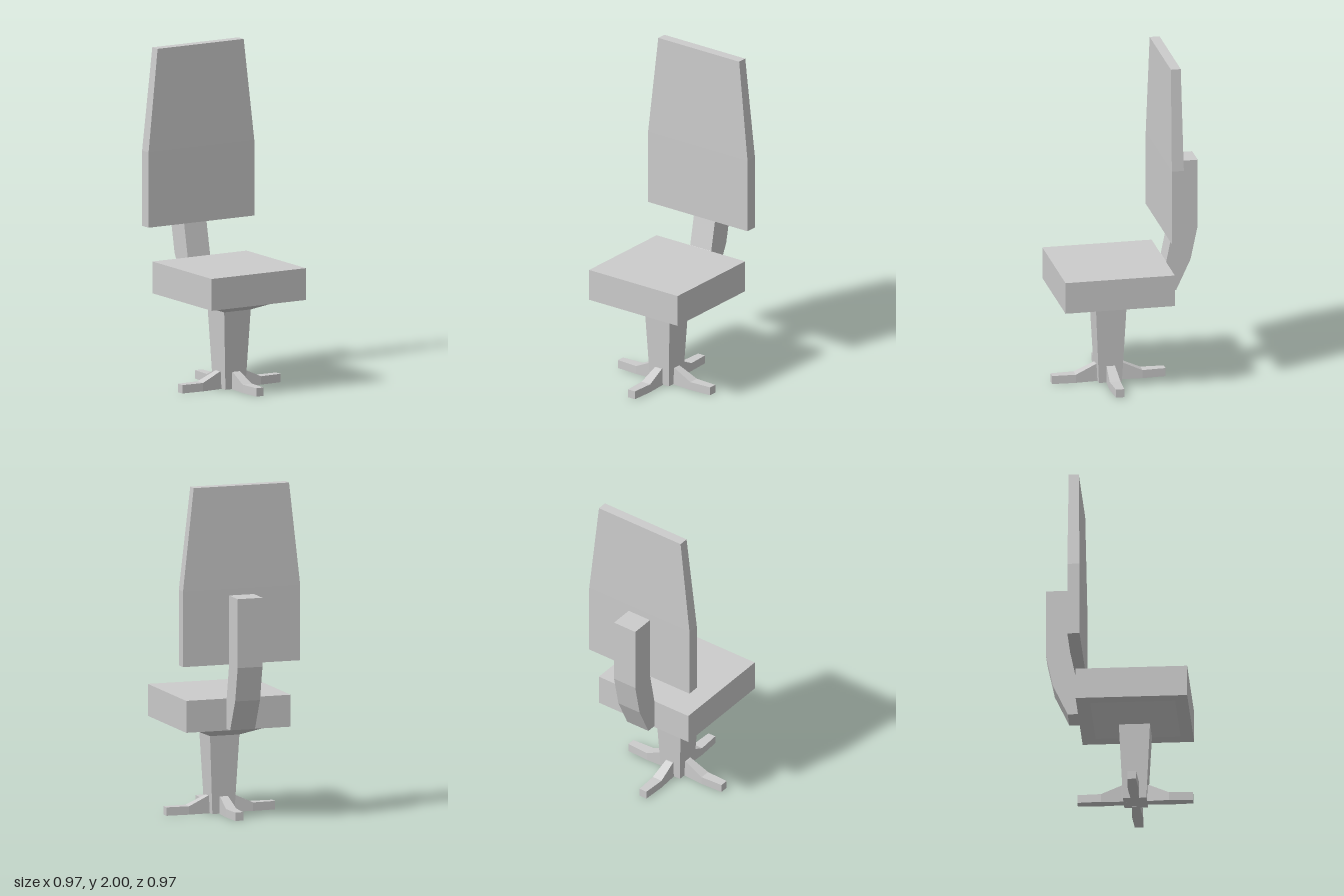
import * as THREE from 'three';

const material = new THREE.MeshStandardMaterial({ color: 0xcccccc, flatShading: true });

function addMesh(parent, name, geometry) {
  const mesh = new THREE.Mesh(geometry, material);
  mesh.name = name;
  parent.add(mesh);
  return mesh;
}

// Skin a row of four-cornered sections, with both ends closed
function loft(sections) {
  const pos = [];
  const quad = (a, b, c, d) => [a, b, c, a, c, d].forEach((p) => pos.push(...p));
  for (let s = 0; s + 1 < sections.length; s++) {
    for (let i = 0; i < 4; i++) {
      const j = (i + 1) % 4;
      quad(sections[s][i], sections[s][j], sections[s + 1][j], sections[s + 1][i]);
    }
  }
  quad(...[...sections[0]].reverse());
  quad(...sections[sections.length - 1]);
  const geometry = new THREE.BufferGeometry();
  geometry.setAttribute('position', new THREE.Float32BufferAttribute(pos, 3));
  geometry.computeVertexNormals();
  return geometry;
}

// Horizontal section at height y
const level = (y, w, back, front) =>
  [[-w, y, front], [w, y, front], [w, y, back], [-w, y, back]];

// Upright section at distance z, standing on the floor
const upright = (z, w, h) => [[-w, 0, z], [w, 0, z], [w, h, z], [-w, h, z]];

export function createModel() {
  const model = new THREE.Group();
  model.name = 'officeChair';
  const chair = new THREE.Group();
  chair.name = 'turnedChair';
  chair.rotation.y = THREE.MathUtils.degToRad(36);
  model.add(chair);

  // Four-legged base and tapered column
  const base = new THREE.Group();
  base.name = 'base';
  base.position.set(0.006, 0, 0.043);
  chair.add(base);
  const legGeometry = loft([
    upright(0.05, 0.024, 0.105), upright(0.08, 0.025, 0.105),
    upright(0.2, 0.032, 0.05), upright(0.34, 0.025, 0.05),
  ]);
  for (let i = 0; i < 4; i++) {
    addMesh(base, 'leg', legGeometry).rotation.y = (i * Math.PI) / 2;
  }
  addMesh(base, 'column', loft([
    level(0.002, 0.069, -0.069, 0.069), level(0.475, 0.092, -0.092, 0.092),
  ]));

  // Flared plate under the seat
  addMesh(base, 'seatPlate', loft([
    level(0.47, 0.092, -0.092, 0.092), level(0.54, 0.25, -0.25, 0.25),
  ]));

  // Seat cushion
  addMesh(chair, 'seat', new THREE.BoxGeometry(0.652, 0.19, 0.656))
    .position.set(0.008, 0.635, 0.04);

  // Backrest, narrowing above the shoulders
  addMesh(chair, 'backrest', loft([
    level(0.94, 0.366, -0.334, -0.262),
    level(1.39, 0.366, -0.334, -0.262),
    level(2, 0.298, -0.33, -0.271),
  ])).position.x = 0.005;

  // Bent support joining seat and backrest, profile as (z, y)
  const profile = new THREE.Shape([
    [-0.26, 0.55], [-0.35, 0.55], [-0.436, 0.735], [-0.479, 0.94], [-0.479, 1.35],
    [-0.333, 1.35], [-0.333, 0.94], [-0.29, 0.73], [-0.26, 0.7],
  ].map(([z, y]) => new THREE.Vector2(-z, y)));
  const support = new THREE.ExtrudeGeometry(profile, { depth: 0.155, bevelEnabled: false });
  support.translate(0, 0, -0.0775).rotateY(Math.PI / 2);
  addMesh(chair, 'backSupport', support).position.x = 0.005;

  return model;
}
